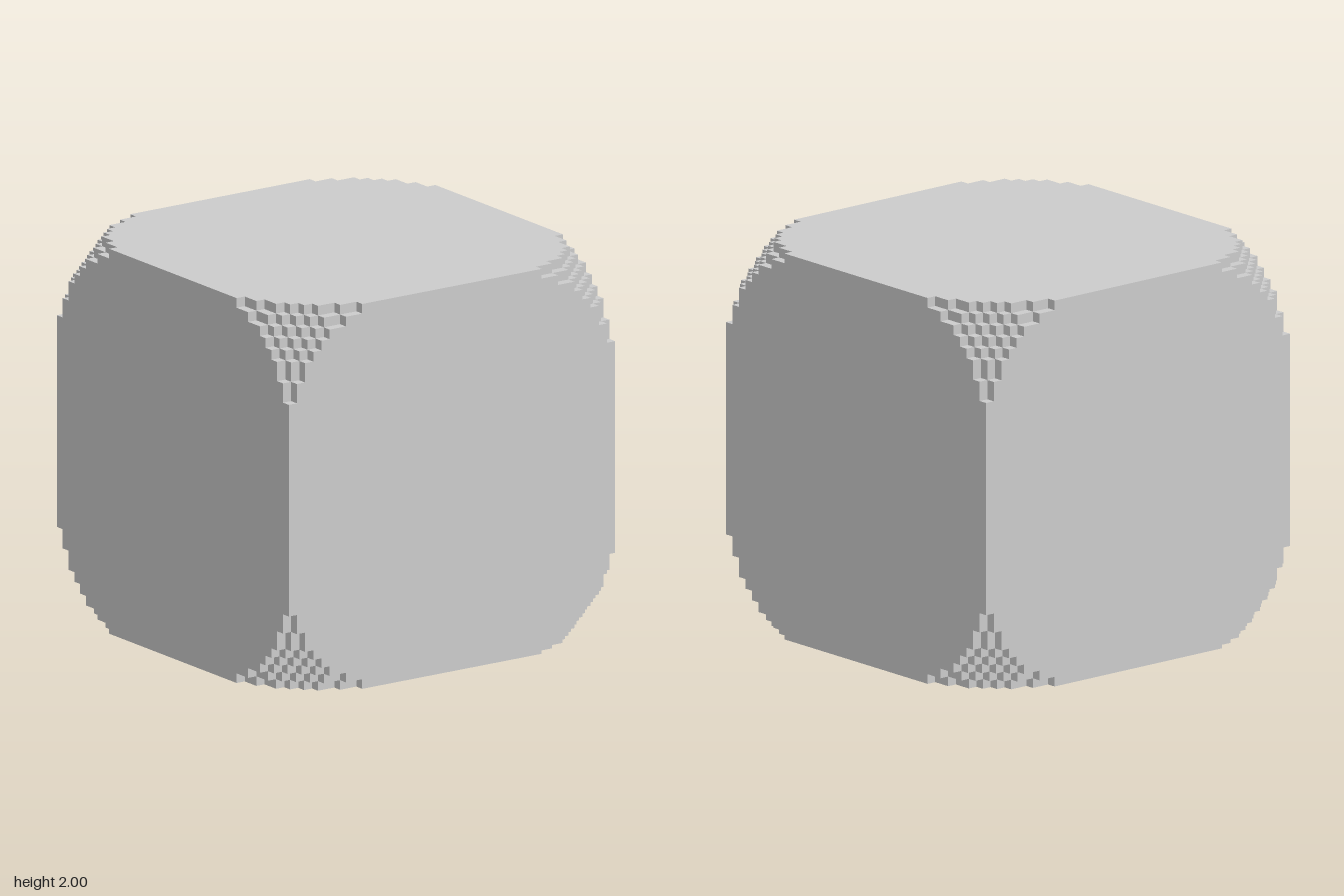
import * as THREE from 'three';

const N = 40;            // cells along each side
const CELL = 2 / N;      // edge length of one cell

// A cell is solid where its centre lies inside a rounded, cube-like solid.
function solid(cell) {
  let sum = 0;
  for (const c of cell) {
    if (c < 0 || c >= N) return false;
    sum += Math.abs((c + 0.5) / (N / 2) - 1) ** 3;
  }
  return sum <= 2;
}

// Adds one outward-facing square on the given side of a cell.
function addFace(positions, normals, cell, axis, dir) {
  const u = (axis + 1) % 3, v = (axis + 2) % 3;
  const corners = [[0, 0], [1, 0], [1, 1], [0, 1]].map(([a, b]) => {
    const p = [...cell];
    if (dir > 0) p[axis] += 1;
    p[u] += a;
    p[v] += b;
    return [p[0] * CELL - 1, p[1] * CELL, p[2] * CELL - 1];
  });
  if (dir < 0) corners.reverse();
  const normal = [0, 0, 0];
  normal[axis] = dir;
  for (const i of [0, 1, 2, 0, 2, 3]) {
    positions.push(...corners[i]);
    normals.push(...normal);
  }
}

export function createModel() {
  const group = new THREE.Group();
  group.name = 'steppedCube';

  // Only the exposed sides of the cells are built.
  const positions = [], normals = [];
  for (let x = 0; x < N; x++) for (let y = 0; y < N; y++) for (let z = 0; z < N; z++) {
    const cell = [x, y, z];
    if (!solid(cell)) continue;
    for (let axis = 0; axis < 3; axis++) for (const dir of [-1, 1]) {
      const next = [...cell];
      next[axis] += dir;
      if (!solid(next)) addFace(positions, normals, cell, axis, dir);
    }
  }

  const geometry = new THREE.BufferGeometry();
  geometry.setAttribute('position', new THREE.Float32BufferAttribute(positions, 3));
  geometry.setAttribute('normal', new THREE.Float32BufferAttribute(normals, 3));

  // Cube body with its eight stepped corners
  const body = new THREE.Mesh(geometry, new THREE.MeshStandardMaterial({ color: 0xcccccc, flatShading: true }));
  body.name = 'cubeBody';
  group.add(body);
  return group;
}
